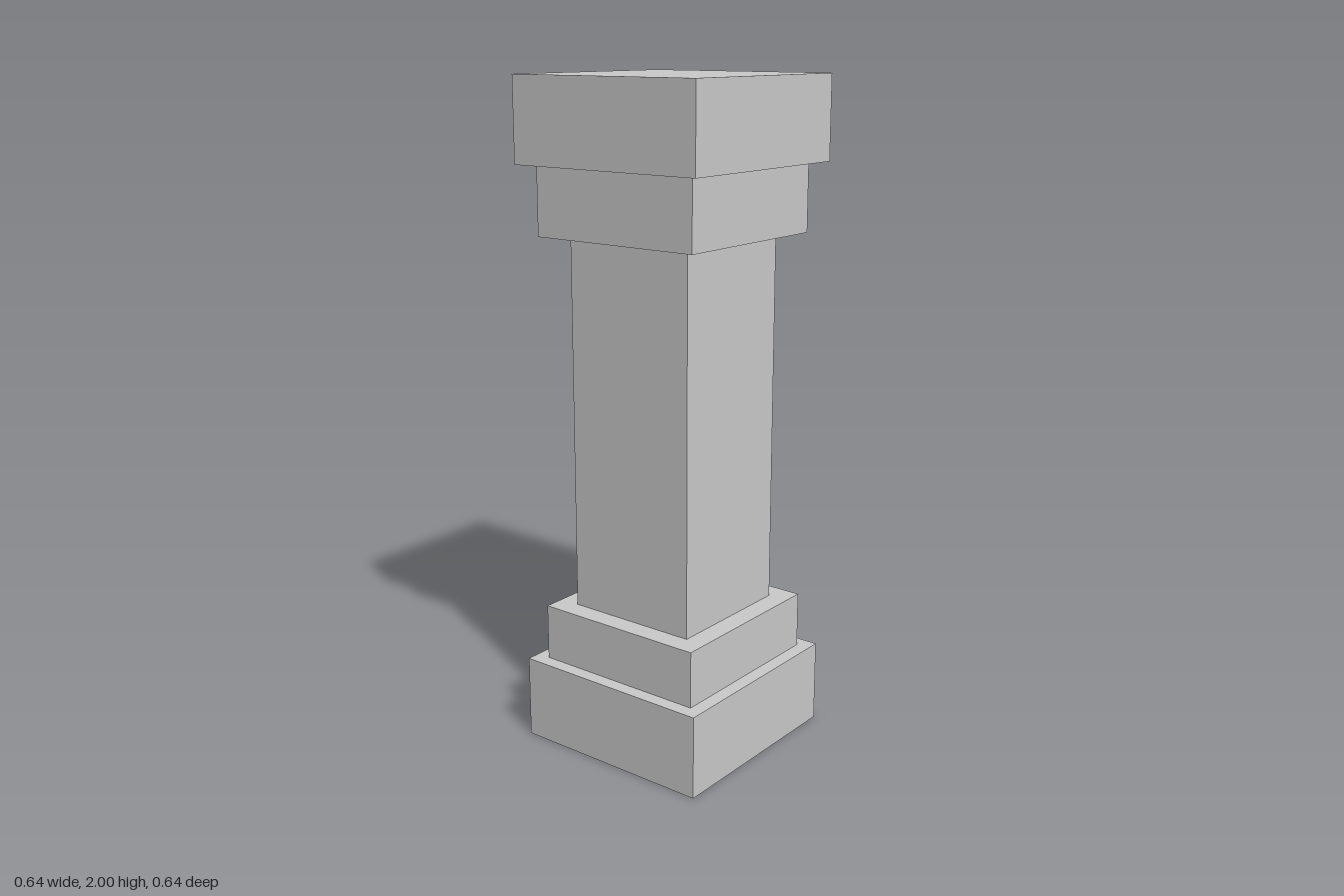
import * as THREE from 'three';

export function createModel() {
  const group = new THREE.Group();
  const material = new THREE.MeshStandardMaterial({ color: 0xcccccc, flatShading: true });

  // Square blocks stacked from the ground up: name, width, bottom, top
  const blocks = [
    ['plinth', 0.636, 0, 0.253],
    ['baseStep', 0.55, 0.253, 0.424],
    ['shaft', 0.42, 0.424, 1.55],
    ['capitalStep', 0.55, 1.55, 1.753],
    ['capital', 0.636, 1.753, 2],
  ];
  for (const [name, width, bottom, top] of blocks) {
    const mesh = new THREE.Mesh(new THREE.BoxGeometry(width, top - bottom, width), material);
    mesh.name = name;
    mesh.position.y = (bottom + top) / 2;
    group.add(mesh);
  }
  return group;
}
